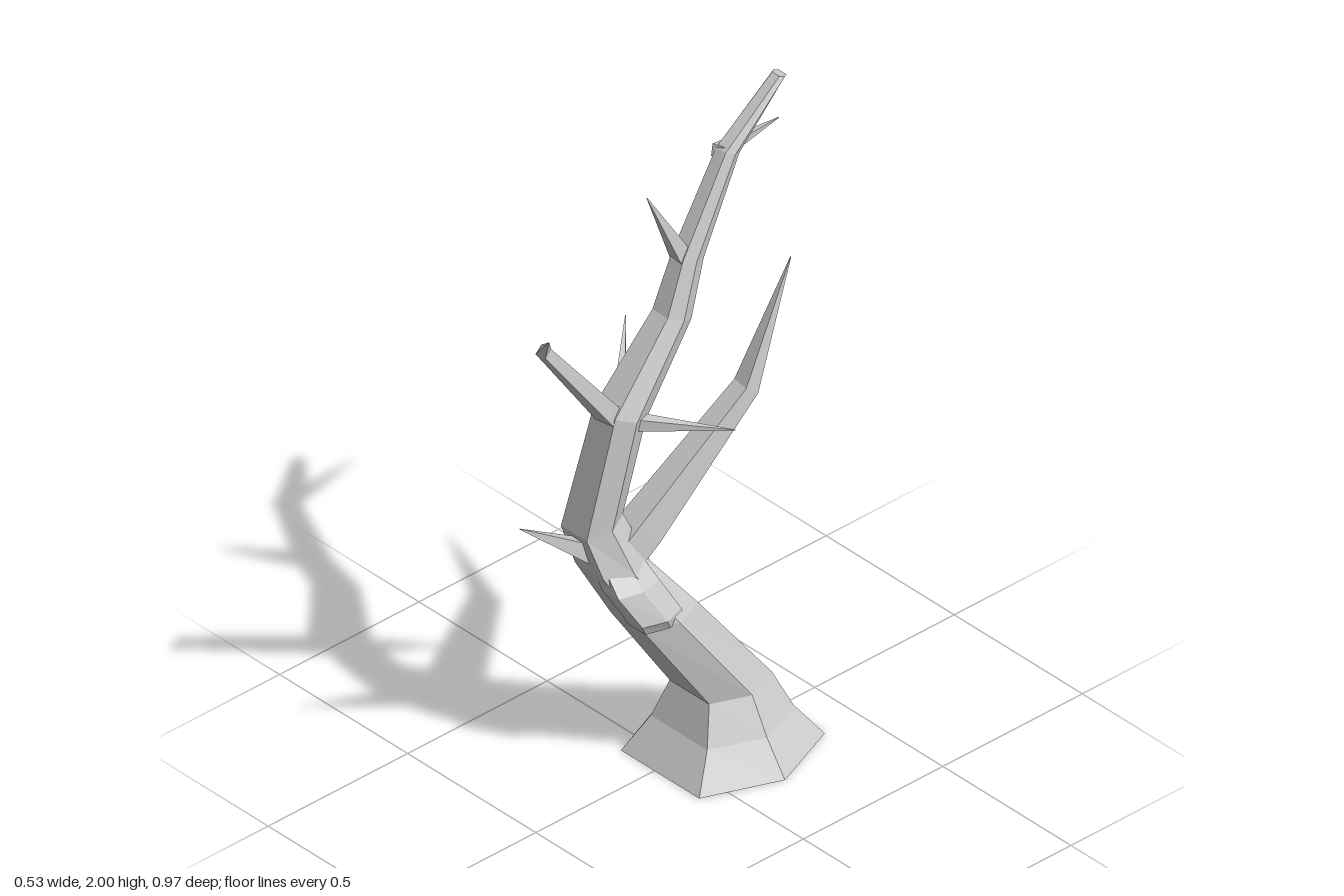
import * as THREE from 'three';

const material = new THREE.MeshStandardMaterial({ color: 0xcccccc, flatShading: true });

// Skin a list of equal-sized rings of points, closing both ends
function loft(name, rings) {
  const pos = [];
  const n = rings[0].length;
  const tri = (...pts) => pts.forEach((p) => pos.push(p.x, p.y, p.z));
  for (let i = 0; i < rings.length - 1; i++) {
    for (let j = 0; j < n; j++) {
      const k = (j + 1) % n;
      const [a, b, c, d] = [rings[i][j], rings[i + 1][j], rings[i + 1][k], rings[i][k]];
      tri(a, b, c);
      tri(a, c, d);
    }
  }
  const first = rings[0], last = rings[rings.length - 1];
  for (let j = 1; j < n - 1; j++) {
    tri(first[0], first[j], first[j + 1]);
    tri(last[0], last[j + 1], last[j]);
  }
  const geometry = new THREE.BufferGeometry();
  geometry.setAttribute('position', new THREE.Float32BufferAttribute(pos, 3));
  geometry.computeVertexNormals();
  const mesh = new THREE.Mesh(geometry, material);
  mesh.name = name;
  return mesh;
}

// Six-sided ring, tilted between its front edge and its back edge
function hexRing([xMin, xMax, zFront, yFront, zBack, yBack]) {
  const cx = (xMin + xMax) / 2, rx = (xMax - xMin) / 2;
  const side = [[1, 0], [0.63, 1], [-0.63, 1], [-1, 0], [-0.63, -1], [0.63, -1]];
  return side.map(([sx, sz]) => new THREE.Vector3(
    cx + sx * rx,
    THREE.MathUtils.lerp(yBack, yFront, (sz + 1) / 2),
    THREE.MathUtils.lerp(zBack, zFront, (sz + 1) / 2)
  ));
}

// Four-sided tapering branch through points [x, y, z, half width, half height]
function branch(name, stops) {
  const pts = stops.map(([x, y, z]) => new THREE.Vector3(x, y, z));
  const dirOf = (a, b) => pts[b].clone().sub(pts[a]).normalize();
  const u = new THREE.Vector3(0, 1, 0).cross(dirOf(0, 1)).normalize();
  const rings = pts.map((p, i) => {
    const dir = dirOf(Math.max(i - 1, 0), Math.min(i + 1, pts.length - 1));
    const v = u.clone().cross(dir).normalize();
    const [w, h] = stops[i].slice(3);
    return [[1, -1], [1, 1], [-1, 1], [-1, -1]].map(([a, b]) =>
      p.clone().addScaledVector(u, a * w).addScaledVector(v, b * h));
  });
  return loft(name, rings);
}

export function createModel() {
  const tree = new THREE.Group();
  tree.name = 'bareTree';

  // Flared foot and leaning, bending trunk: xMin, xMax, zFront, yFront, zBack, yBack
  tree.add(loft('trunk', [
    [-0.22, 0.265, 0.075, 0, -0.375, 0],
    [-0.155, 0.195, 0.005, 0.1, -0.305, 0.1],
    [-0.105, 0.14, -0.035, 0.21, -0.26, 0.21],
    [-0.105, 0.095, 0.17, 0.52, -0.03, 0.52],
    [-0.14, 0.035, 0.26, 0.7, 0.09, 0.68],
    [-0.16, 0.0, 0.29, 0.82, 0.16, 0.85],
    [-0.11, 0.025, 0.215, 1.19, 0.105, 1.14],
    [-0.085, 0.01, 0.02, 1.42, -0.065, 1.38],
    [-0.075, 0.0, -0.04, 1.57, -0.115, 1.55],
    [-0.07, -0.01, -0.2, 1.84, -0.25, 1.82],
    [-0.055, -0.01, -0.39, 2.0, -0.415, 1.995],
  ].map(hexRing)));

  // Broken stub on the left side of the trunk
  tree.add(loft('stub', [
    [-0.02, 0.09, 0.17, 0.515, 0.03, 0.515],
    [-0.02, 0.102, 0.19, 0.55, 0.05, 0.55],
    [-0.04, 0.065, 0.245, 0.65, 0.1, 0.65],
    [-0.07, 0.015, 0.245, 0.71, 0.12, 0.71],
  ].map(hexRing)));

  // Long branches with a bend
  tree.add(branch('backBranch', [
    [-0.045, 0.71, 0.16, 0.045, 0.05],
    [-0.035, 0.77, 0.09, 0.042, 0.05],
    [0.005, 1.085, -0.25, 0.028, 0.024],
    [0.01, 1.43, -0.405, 0.001, 0.001],
  ]));
  tree.add(branch('frontBranch', [
    [-0.045, 1.12, 0.15, 0.038, 0.03],
    [-0.035, 1.21, 0.225, 0.032, 0.024],
    [-0.03, 1.5, 0.445, 0.017, 0.015],
    [0.035, 1.58, 0.485, 0.001, 0.001],
  ]));

  // Short straight spikes: root, tip, half width, half height
  const spikes = [
    ['lowerFrontSpike', [-0.065, 0.73, 0.22], [-0.09, 0.915, 0.475], 0.028, 0.03],
    ['rightSpike', [-0.06, 1.13, 0.15], [-0.265, 1.26, -0.065], 0.02, 0.022],
    ['leftSpike', [-0.02, 1.145, 0.15], [0.175, 1.12, -0.055], 0.02, 0.02],
    ['upperFrontSpike', [-0.04, 1.54, -0.075], [-0.05, 1.8, 0.055], 0.03, 0.025],
    ['topSpike', [-0.05, 1.83, -0.2], [-0.125, 1.77, -0.485], 0.02, 0.018],
  ];
  for (const [name, root, tip, w, h] of spikes) {
    tree.add(branch(name, [[...root, w, h], [...tip, 0.001, 0.001]]));
  }
  return tree;
}
